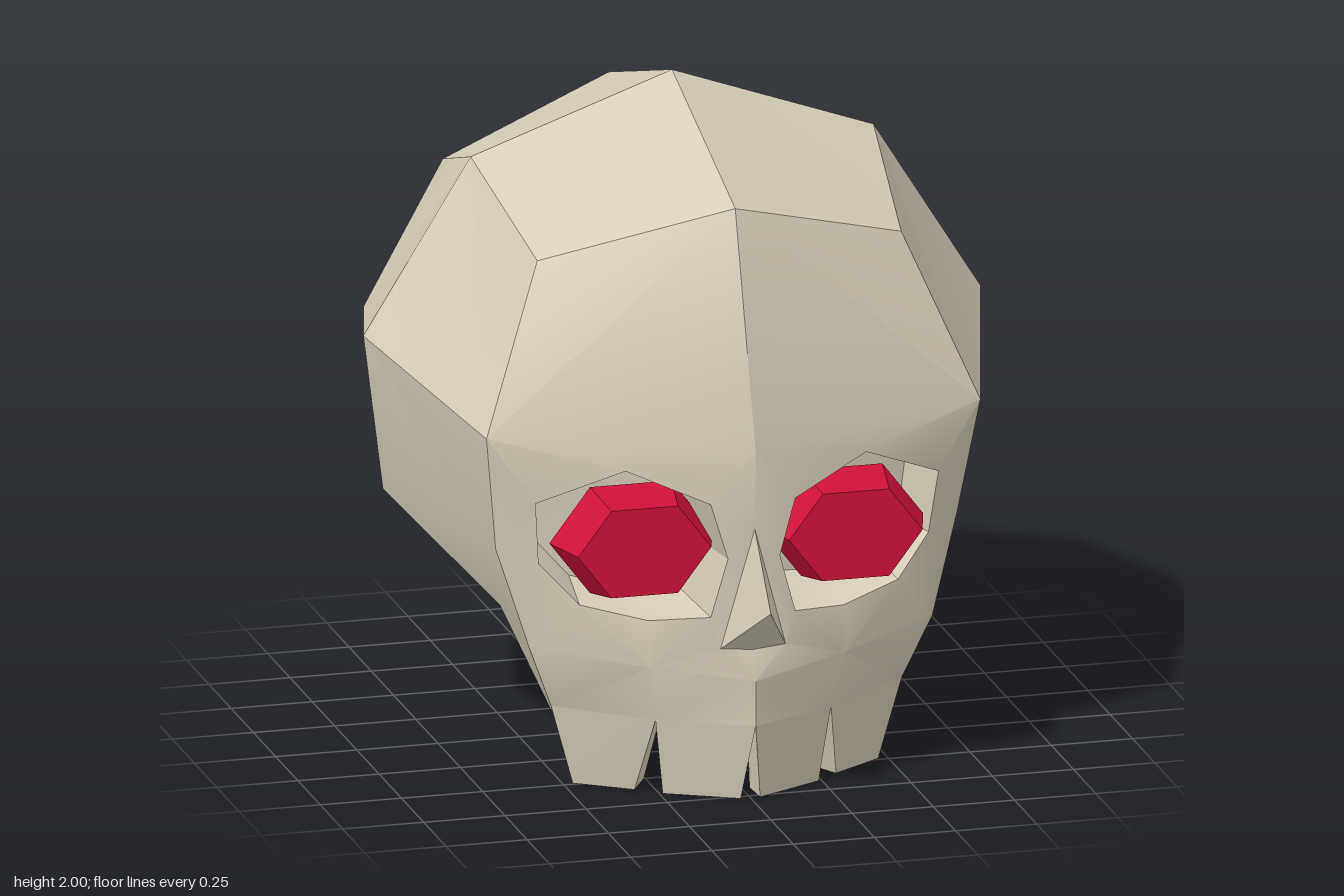
import * as THREE from 'three';
import { toCreasedNormals } from 'three/addons/utils/BufferGeometryUtils.js';

const bone = new THREE.MeshStandardMaterial({ color: 0xd6ccb8, side: THREE.DoubleSide });
const red = new THREE.MeshStandardMaterial({ color: 0xd0103a, flatShading: true });

// Named corner points of the left half
const P = {
  // cranium
  top: [0, 2, -0.11], topF: [0, 1.78, 0.6], topB: [0, 1.78, -0.82], topS: [0.62, 1.78, -0.11],
  corF: [0.56, 1.61, 0.42], corB: [0.56, 1.61, -0.64],
  side: [0.95, 1.25, -0.11], sideLow: [0.89, 0.77, -0.11],
  edgeB: [0.76, 1.12, -0.8], edgeBLow: [0.74, 0.85, -0.79], lowB: [0.56, 0.63, -0.64],
  back: [0, 1.31, -0.98], backLow: [0, 0.85, -1], base: [0, 0.46, -0.82],
  hinge: [0.65, 0.52, 0.33], baseF: [0, 0.3, 0.33],
  // face
  brow: [0, 1.09, 0.83], temple: [0.76, 1.12, 0.58], cheek: [0.71, 0.75, 0.5], cheekLow: [0.62, 0.45, 0.55],
  nasion: [0, 0.85, 0.82], tip: [0, 0.64, 1], wing: [0.1, 0.48, 0.8], pit: [0, 0.47, 0.8], lip: [0, 0.38, 0.83],
  jaw: [0.3, 0.42, 0.74], gum0: [0, 0.24, 0.83], gum1: [0.27, 0.24, 0.69], gum2: [0.54, 0.25, 0.5], jawB: [0.52, 0.21, 0.44],
  // eye socket rim
  r0: [0.13, 0.93, 0.8], r1: [0.37, 1.03, 0.72], r2: [0.62, 0.92, 0.62], r3: [0.6, 0.72, 0.58],
  r4: [0.49, 0.6, 0.64], r5: [0.3, 0.56, 0.72], r6: [0.13, 0.58, 0.8], r7: [0.08, 0.76, 0.81],
};

const craniumFaces = [
  'top topF corF topS', 'top topS corB topB', 'topF brow temple corF',
  'topS corF temple side', 'topS side edgeB corB', 'side temple cheek sideLow',
  'sideLow cheek hinge', 'side sideLow edgeBLow edgeB', 'sideLow hinge lowB', 'sideLow lowB edgeBLow',
  'topB corB edgeB back', 'back edgeB edgeBLow backLow', 'backLow edgeBLow lowB base',
  'base lowB hinge baseF',
];
const faceFaces = [
  'brow r0 r1', 'brow r1 temple', 'r1 r2 temple', 'r2 cheek temple', 'r2 r3 cheek',
  'r3 cheekLow cheek', 'r3 r4 cheekLow', 'r4 jaw cheekLow', 'r4 r5 jaw', 'r5 r6 jaw', 'r6 wing jaw',
  'brow nasion r0', 'nasion r7 r0', 'nasion wing r6 r7', 'nasion tip wing',
  'tip pit wing', 'pit lip wing', 'wing lip jaw', 'lip gum0 gum1 jaw', 'jaw gum1 gum2 cheekLow',
  'cheekLow gum2 jawB', 'cheekLow jawB hinge', 'cheek cheekLow hinge',
  'baseF hinge jawB', 'baseF jawB gum2 gum1 gum0',
];

const lookUp = (list) => list.map((f) => f.split(' ').map((n) => P[n]));

// Fans each polygon into triangles and adds its mirror image
function mirroredMesh(name, polygons, crease) {
  const pos = [];
  for (const poly of polygons) {
    for (let i = 1; i < poly.length - 1; i++) {
      const tri = [poly[0], poly[i], poly[i + 1]];
      tri.forEach((p) => pos.push(...p));
      tri.reverse().forEach(([x, y, z]) => pos.push(-x, y, z));
    }
  }
  const geo = new THREE.BufferGeometry();
  geo.setAttribute('position', new THREE.Float32BufferAttribute(pos, 3));
  const mesh = new THREE.Mesh(toCreasedNormals(geo, crease), bone);
  mesh.name = name;
  return mesh;
}

// Pocket behind the socket rim
function socketPolygons() {
  const rim = [0, 1, 2, 3, 4, 5, 6, 7].map((i) => P['r' + i]);
  const inner = rim.map(([x, y, z]) => [0.35 + (x - 0.35) * 0.82, 0.78 + (y - 0.78) * 0.85, z * 0.4 + 0.17]);
  const walls = rim.map((p, i) => {
    const j = (i + 1) % rim.length;
    return [rim[j], p, inner[i], inner[j]];
  });
  return [...walls, [...inner].reverse()];
}

// Tooth: outer quad pushed inward to a thick wedge
function toothPolygons(outer) {
  const inner = outer.map(([x, y, z]) => [x * 0.82, y, z - 0.1]);
  const sides = outer.map((p, i) => {
    const j = (i + 1) % outer.length;
    return [outer[j], p, inner[i], inner[j]];
  });
  return [outer, [...inner].reverse(), ...sides];
}

export function createModel() {
  const group = new THREE.Group();
  group.name = 'skull';

  // Skull shell shares one set of smoothed normals
  group.add(mirroredMesh('skullShell', lookUp([...craniumFaces, ...faceFaces]), 0.48));
  group.add(mirroredMesh('eyeSockets', socketPolygons(), 0.4));

  // Teeth
  group.add(mirroredMesh('frontTeeth', toothPolygons([P.gum0, [0.03, 0, 0.77], [0.24, 0, 0.66], P.gum1]), 0.3));
  group.add(mirroredMesh('sideTeeth', toothPolygons([P.gum1, [0.31, 0, 0.6], [0.47, 0, 0.49], P.gum2]), 0.3));

  // Six-sided gem eyes
  const profile = [[0, 0.45], [0.16, 0.45], [0.25, 0.61], [0.205, 0.77], [0, 0.77]].map(([r, z]) => new THREE.Vector2(r, z));
  const gem = new THREE.LatheGeometry(profile, 6, Math.PI / 2);
  gem.rotateX(Math.PI / 2).scale(1, 0.76, 1);
  for (const s of [1, -1]) {
    const eye = new THREE.Mesh(gem, red);
    eye.name = s > 0 ? 'leftEye' : 'rightEye';
    eye.position.set(0.325 * s, 0.79, 0);
    group.add(eye);
  }
  return group;
}
